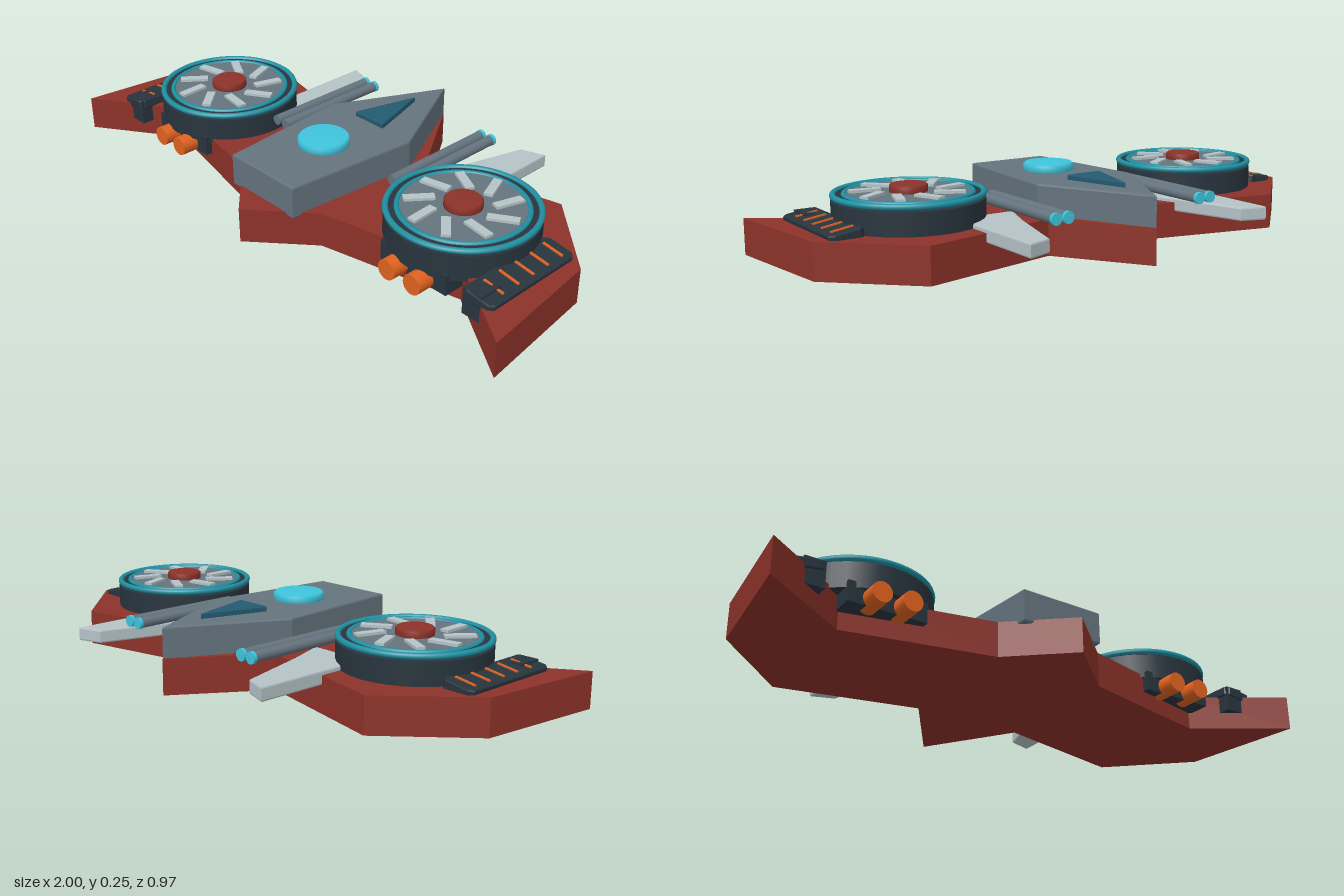
import * as THREE from 'three';

const mat = (color) => new THREE.MeshStandardMaterial({ color });
const M = {
  hull: mat(0x8c3229), cabin: mat(0x64737d), navy: mat(0x28343d), teal: mat(0x1f8fa0),
  cyan: mat(0x3fc4dc), orange: mat(0xe0621f), fin: mat(0xb4c2c6), glass: mat(0x235a70),
};

function add(parent, name, geometry, material, x = 0, y = 0, z = 0) {
  const mesh = new THREE.Mesh(geometry, material);
  mesh.name = name;
  mesh.position.set(x, y, z);
  parent.add(mesh);
  return mesh;
}

// Plate with an outline in (x, z), lying between two heights
function plate(points, bottom, top, bevel = 0) {
  const shape = new THREE.Shape(points.map(([x, z]) => new THREE.Vector2(x, z)));
  const geometry = new THREE.ExtrudeGeometry(shape, {
    depth: top - bottom - 2 * bevel, bevelEnabled: bevel > 0, bevelThickness: bevel,
    bevelSize: bevel, bevelOffset: -bevel, bevelSegments: 2,
  });
  return geometry.rotateX(Math.PI / 2).translate(0, top - bevel, 0);
}

// Outline given for the +x half, closed by its mirror image
const mirrored = (half) =>
  [...half, ...half.filter(([x]) => x > 0).reverse().map(([x, z]) => [-x, z])];

// Turned disc with softened edges
function disc(radius, height, bevel) {
  const profile = [[0, 0], [radius - bevel, 0], [radius, bevel], [radius, height - bevel],
    [radius - bevel, height], [0, height]].map(([r, y]) => new THREE.Vector2(r, y));
  return new THREE.LatheGeometry(profile, 48);
}

const cylinder = (r, h) => new THREE.CylinderGeometry(r, r, h, 32);
const torus = (r, tube) => new THREE.TorusGeometry(r, tube, 10, 56).rotateX(Math.PI / 2);

function createTurbine(x) {
  const turbine = new THREE.Group();
  turbine.name = 'turbine';
  turbine.position.set(x, 0, 0.062);
  add(turbine, 'turbineBody', cylinder(0.247, 0.088), M.navy, 0, 0.154);
  add(turbine, 'lowerBand', cylinder(0.213, 0.012), M.teal, 0, 0.202);
  add(turbine, 'turbineRim', cylinder(0.238, 0.01), M.navy, 0, 0.21);
  add(turbine, 'outerRing', torus(0.24, 0.01), M.teal, 0, 0.213);
  add(turbine, 'innerRing', torus(0.205, 0.009), M.teal, 0, 0.214);
  add(turbine, 'fanPlate', cylinder(0.2, 0.012), M.cabin, 0, 0.212);
  add(turbine, 'fanHub', disc(0.062, 0.03, 0.005), M.hull, 0, 0.213);
  // Swirled fan blades
  const count = 9;
  for (let i = 0; i < count; i++) {
    const a = Math.PI / 2 + i * 2 * Math.PI / count;
    const blade = add(turbine, 'fanBlade', new THREE.BoxGeometry(0.1, 0.012, 0.03), M.fin,
      0.14 * Math.cos(a), 0.221, -0.14 * Math.sin(a));
    blade.rotation.y = a + 0.38;
  }
  // Exhaust block with two nozzles
  add(turbine, 'exhaustBlock', new THREE.BoxGeometry(0.27, 0.07, 0.11), M.navy, 0, 0.095, 0.165);
  for (const dx of [-0.052, 0.052]) {
    add(turbine, 'nozzle', cylinder(0.034, 0.1).rotateX(Math.PI / 2), M.orange, dx, 0.086, 0.23);
  }
  return turbine;
}

function createVentPanel(s) {
  const vent = new THREE.Group();
  vent.name = 'ventPanel';
  vent.position.set(s * 0.848, 0.13, 0.118);
  vent.rotation.z = -s * 0.15;
  const w = 0.057, l = 0.193, c = 0.015;
  const outline = [[w - c, -l], [w, c - l], [w, l - c], [w - c, l],
    [c - w, l], [-w, l - c], [-w, c - l], [c - w, -l]];
  add(vent, 'ventBase', plate(outline, -0.02, 0.015, 0.005), M.navy);
  for (let i = 0; i < 5; i++) {
    add(vent, 'ventSlat', new THREE.BoxGeometry(0.075, 0.007, 0.008), M.orange,
      0, 0.016, -0.152 + i * 0.068);
  }
  return vent;
}

export function createModel() {
  const model = new THREE.Group();
  model.name = 'flyingWing';

  // Hull, cabin and canopy on the centre line
  add(model, 'hull', plate(mirrored([[0, -0.485], [0.2, -0.18], [0.69, -0.29], [0.95, -0.042],
    [1, 0.4], [0.7, 0.2], [0.2, 0.31], [0, 0.485]]), 0, 0.122), M.hull);
  add(model, 'cabin', plate(mirrored([[0, -0.483], [0.192, -0.1], [0.15, 0.385]]),
    0.11, 0.225, 0.006), M.cabin);
  add(model, 'canopy', plate(mirrored([[0, -0.325], [0.066, -0.097]]), 0.222, 0.243, 0.004), M.glass);
  add(model, 'beacon', disc(0.088, 0.033, 0.007), M.cyan, 0, 0.22, 0.115);

  for (const s of [-1, 1]) {
    model.add(createTurbine(s * 0.575), createVentPanel(s));
    // Drooping front end of the vent panel
    add(model, 'ventDuct', new THREE.BoxGeometry(0.07, 0.09, 0.09), M.navy, s * 0.83, 0.105, 0.262);
    // Swept rear fin
    const fin = [[0.47, -0.487], [0.385, -0.458], [0.31, -0.2], [0.26, -0.06], [0.47, -0.06]];
    add(model, 'tailFin', plate(fin.map(([x, z]) => [s * x, z]), 0.09, 0.137, 0.006), M.fin);
    // Twin barrels pointing backwards
    for (const x of [0.265, 0.31]) {
      add(model, 'barrel', cylinder(0.018, 0.44).rotateX(Math.PI / 2), M.cabin, s * x, 0.171, -0.16);
      add(model, 'barrelTip', cylinder(0.02, 0.012).rotateX(Math.PI / 2), M.cyan, s * x, 0.171, -0.382);
    }
  }
  return model;
}
